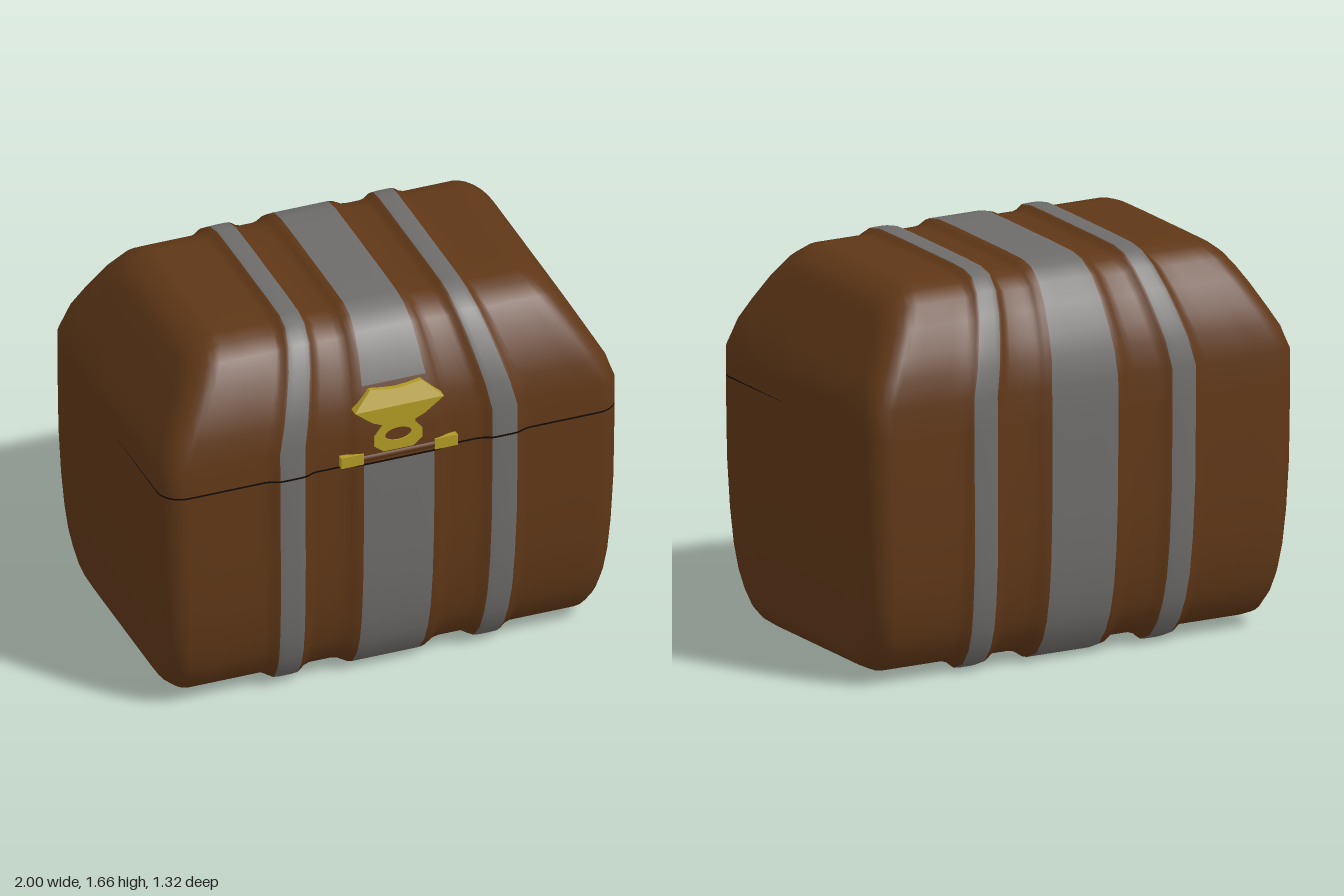
import * as THREE from 'three';

const mat = (color) => new THREE.MeshStandardMaterial({ color });
const BROWN = mat(0x5f3717), GREY = mat(0x6e6c6a), GOLD = mat(0xb09a25), DARK = mat(0x120a05);

const SEAM = 1.07;   // height of the lid joint
const ROUND = 0.1;   // rounding of the end edges
const OFFSET = 0.015; // the bands sit slightly to the left

// Front half of the cross-section, bottom centre to top centre: [z, y]
const half = [
  [0, 0.037], [0.2, 0.037], [0.34, 0.037], [0.43, 0.042], [0.5, 0.07], [0.55, 0.13], [0.585, 0.21],
  [0.61, 0.32], [0.628, 0.48], [0.638, 0.7], [0.64, SEAM - 0.004], [0.64, SEAM + 0.004], [0.638, 1.2],
  [0.62, 1.31], [0.585, 1.4], [0.535, 1.5], [0.475, 1.58], [0.41, 1.625], [0.34, 1.638], [0.2, 1.64], [0, 1.64],
];
const loop = [...half, ...half.slice(1, -1).reverse().map(([z, y]) => [-z, y])];
const N = loop.length;

// Half length of the chest at each height: [y, x]
const lengths = [[0.037, 0.94], [0.14, 0.955], [0.3, 0.975], [0.6, 0.992], [0.9, 1], [1.22, 1], [1.46, 0.865], [1.6, 0.785], [1.64, 0.76]];
function halfLength(y) {
  for (let i = 1; i < lengths.length; i++) {
    const [y0, x0] = lengths[i - 1], [y1, x1] = lengths[i];
    if (y <= y1) return x0 + (x1 - x0) * Math.max(0, (y - y0) / (y1 - y0));
  }
  return lengths[lengths.length - 1][1];
}

// Swelling under the bands, 0 to 1
function swell(v) {
  const a = Math.abs(v);
  const middle = 1 - THREE.MathUtils.smoothstep(a, 0.16, 0.24);
  const side = 1 - THREE.MathUtils.smoothstep(Math.abs(a - 0.465), 0.045, 0.11);
  return Math.max(middle, side);
}

// Stations along the length: straight part, rounded edges, end faces
function makeStations() {
  const vs = [0, 0.08, 0.155, 0.18, 0.2, 0.22, 0.25, 0.3, 0.35, 0.375, 0.395, 0.41, 0.437, 0.465, 0.493, 0.52, 0.535, 0.555, 0.58, 0.65, 0.74, 0.81];
  const straight = [...vs.slice(1).reverse().map((v) => -v), ...vs].map((v) => ({ v }));
  const end = [];
  for (let k = 0; k <= 6; k++) {
    const a = (k / 6) * Math.PI / 2;
    end.push({ inset: ROUND * (1 - Math.sin(a)), d: ROUND * (1 - Math.cos(a)), m: 1 });
  }
  for (const m of [0.95, 0.85, 0.7, 0.5, 0.32, 0.2, 0]) end.push({ inset: 0, d: ROUND, m });
  const side = (s) => end.map((e) => ({ ...e, sign: s }));
  return [...side(-1).reverse(), ...straight, ...side(1)];
}

function stationPoint(st, j) {
  const [z, y] = loop[j];
  if (st.sign) {
    const reach = y > SEAM ? 0.57 : 1.033;
    const y2 = SEAM + (y - SEAM) * (1 - st.d / reach) * st.m;
    return [st.sign * (halfLength(y2) - st.inset), y2, z * (1 - st.d / 0.64) * st.m];
  }
  // push the section outwards along its normal where a band runs
  const [z0, y0] = loop[(j + N - 1) % N], [z1, y1] = loop[(j + 1) % N];
  const len = Math.hypot(z1 - z0, y1 - y0);
  const nz = (y1 - y0) / len, ny = -(z1 - z0) / len;
  const s = y < 0.1 && Math.abs(z) < 0.35 ? 0 : swell(st.v);
  return [(st.v + OFFSET) * halfLength(y), y + s * ny * (ny < 0 ? 0.038 : 0.025), z + s * nz * 0.02];
}

// One smooth skin, divided into wood, bands and lid joint
function addShell(group) {
  const stations = makeStations();
  const pos = [];
  for (const st of stations) for (let j = 0; j < N; j++) pos.push(...stationPoint(st, j));
  const parts = { woodenShell: [], middleBand: [], rightBand: [], leftBand: [], lidJoint: [] };
  const all = [];
  for (let i = 0; i < stations.length - 1; i++) {
    const A = stations[i], B = stations[i + 1];
    const v = A.sign || B.sign ? 9 : (A.v + B.v) / 2;
    for (let j = 0; j < N; j++) {
      const k = (j + 1) % N;
      const a = i * N + j, b = a + N, c = i * N + k, d = c + N;
      const quad = [a, b, c, b, d, c];
      all.push(...quad);
      const y = (loop[j][1] + loop[k][1]) / 2, front = loop[j][0] > 0.55;
      const joint = front && Math.abs(y - SEAM) < 0.003 && Math.min(A.m ?? 1, B.m ?? 1) >= 0.2;
      const claspGap = front && y > SEAM && y < 1.4;
      let name = 'woodenShell';
      if (joint) name = 'lidJoint';
      else if (Math.abs(v) < 0.155 && !claspGap) name = 'middleBand';
      else if (Math.abs(Math.abs(v) - 0.465) < 0.055) name = v < 0 ? 'rightBand' : 'leftBand';
      parts[name].push(...quad);
    }
  }
  const skin = new THREE.BufferGeometry();
  skin.setAttribute('position', new THREE.Float32BufferAttribute(pos, 3));
  skin.setIndex(all);
  skin.computeVertexNormals();
  for (const [name, index] of Object.entries(parts)) {
    const g = new THREE.BufferGeometry();
    g.setAttribute('position', skin.getAttribute('position'));
    g.setAttribute('normal', skin.getAttribute('normal'));
    g.setIndex(index);
    const m = name === 'woodenShell' ? BROWN : name === 'lidJoint' ? DARK : GREY;
    const mesh = new THREE.Mesh(g, m);
    mesh.name = name;
    group.add(mesh);
  }
}

function addPlate(group, name, points, depth, hole) {
  const shape = new THREE.Shape(points.map(([x, y]) => new THREE.Vector2(x, y)));
  if (hole) shape.holes.push(hole);
  const g = new THREE.ExtrudeGeometry(shape, { depth, bevelEnabled: false, curveSegments: 12 });
  g.translate(0, 0, 0.665 - depth);
  const mesh = new THREE.Mesh(g, GOLD);
  mesh.name = name;
  group.add(mesh);
  return g;
}

function addClasp(group) {
  const clasp = new THREE.Group();
  clasp.name = 'clasp';
  // upper half of the plate leans back with the lid
  const upper = addPlate(clasp, 'claspUpperPlate',
    [[-0.18, 1.325], [0.21, 1.325], [0.125, 1.4], [0.07, 1.392], [0.015, 1.388], [-0.04, 1.392], [-0.1, 1.4]], 0.05);
  const p = upper.getAttribute('position');
  for (let i = 0; i < p.count; i++) p.setZ(i, p.getZ(i) - (p.getY(i) - 1.325) * 0.5);
  upper.computeVertexNormals();
  addPlate(clasp, 'claspLowerPlate',
    [[-0.18, 1.325], [-0.1, 1.262], [-0.06, 1.245], [-0.06, 1.225], [0.085, 1.225], [0.085, 1.245], [0.125, 1.262], [0.21, 1.325]], 0.05);
  // ring with an oval hole
  const hole = new THREE.Path();
  hole.absellipse(0.01, 1.19, 0.058, 0.03, 0, Math.PI * 2, true);
  addPlate(clasp, 'claspRing',
    [[-0.055, 1.118], [0.075, 1.118], [0.115, 1.15], [0.115, 1.195], [0.075, 1.24], [-0.055, 1.24], [-0.095, 1.195], [-0.095, 1.15]], 0.04, hole);
  // hinge tabs with a pin between them
  for (const s of [-1, 1]) {
    const tab = new THREE.Mesh(new THREE.BoxGeometry(0.1, 0.05, 0.05), GOLD);
    tab.position.set(OFFSET + s * 0.205, 1.1, 0.64);
    tab.name = s < 0 ? 'rightHingeTab' : 'leftHingeTab';
    clasp.add(tab);
  }
  const pin = new THREE.Mesh(new THREE.CylinderGeometry(0.02, 0.02, 0.32, 12), BROWN);
  pin.rotation.z = Math.PI / 2;
  pin.position.set(OFFSET, 1.098, 0.645);
  pin.name = 'hingePin';
  clasp.add(pin);
  group.add(clasp);
}

export function createModel() {
  const chest = new THREE.Group();
  chest.name = 'chest';
  addShell(chest);
  addClasp(chest);
  return chest;
}
